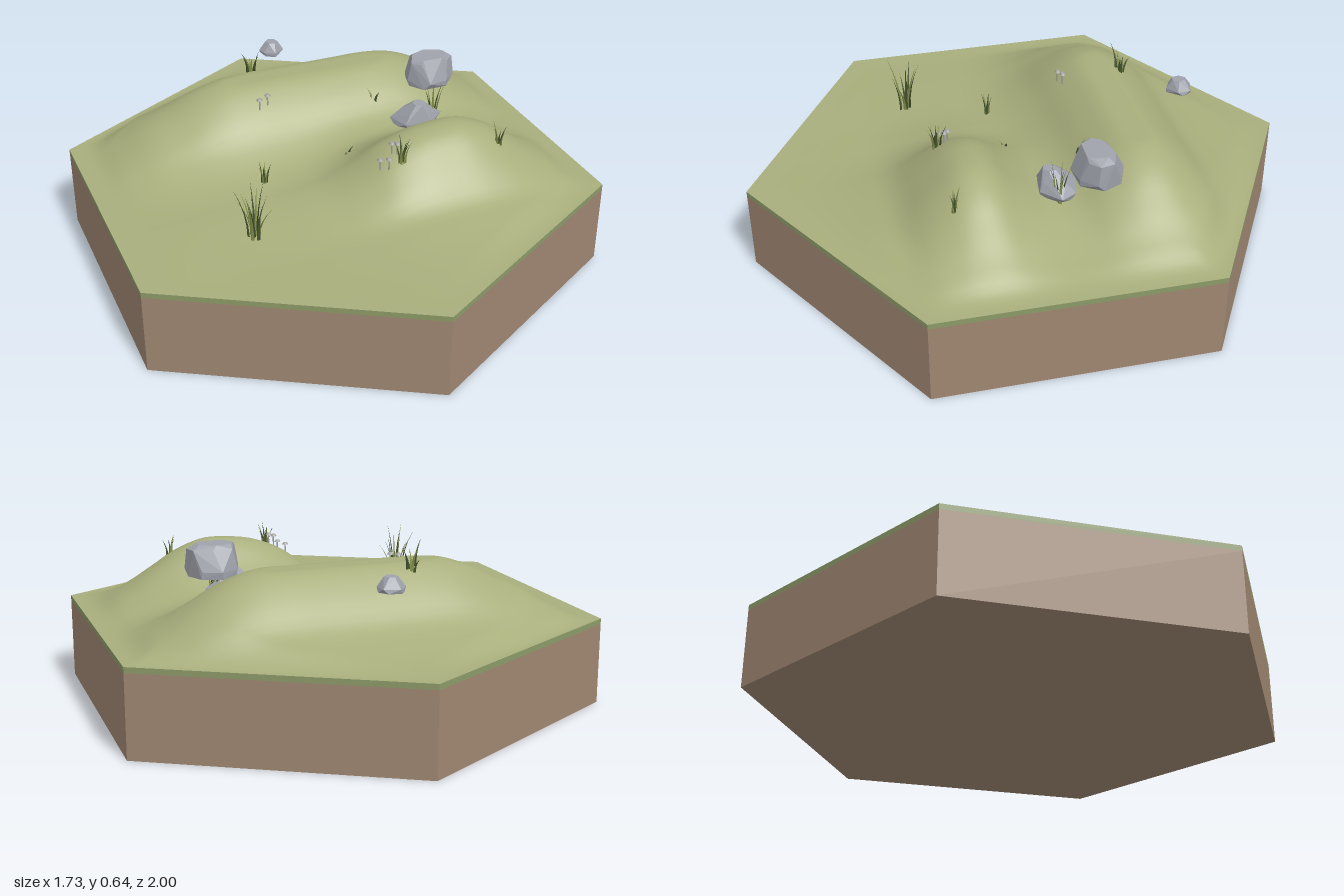
import * as THREE from 'three';
import { mergeGeometries } from 'three/addons/utils/BufferGeometryUtils.js';
import { ConvexGeometry } from 'three/addons/geometries/ConvexGeometry.js';

const material = (name, color, extra = {}) =>
  Object.assign(new THREE.MeshStandardMaterial({ color, ...extra }), { name });

const HALF_WIDTH = Math.sqrt(3) / 2, SOIL_TOP = 0.295, TURF_TOP = 0.315;

// Ridge profiles, sampled every 0.1: across x from -0.9 to 0.9, across z from -1 to 1
const BACK_X = [0, .02, .22, .46, .64, .83, .96, 1, 1, 1, 1, 1, 1, .95, .8, .55, .28, .08, 0];
const BACK_Z = [0, .02, .07, .17, .33, .72, 1, 1, .76, .4, .17, .06, .03, .01, 0, 0, 0, 0, 0, 0, 0];
const FRONT_X = [0, 0, .02, .04, .05, .06, .08, .14, .23, .45, .75, .93, 1, 1, .85, .58, .3, .08, 0];
const FRONT_Z = [0, 0, 0, 0, 0, 0, 0, .01, .03, .08, .25, .6, .97, .98, .66, .26, .14, .07, .03, .01, 0];

// Smooth cubic reading of a sampled profile
function sample(table, start, v) {
  const p = THREE.MathUtils.clamp((v - start) / 0.1, 0, table.length - 1);
  const i = Math.min(Math.floor(p), table.length - 2), t = p - i;
  const at = k => table[THREE.MathUtils.clamp(k, 0, table.length - 1)];
  const a = at(i), b = at(i + 1), m = (b - at(i - 1)) / 2, n = (at(i + 2) - a) / 2;
  const t2 = t * t, t3 = t2 * t;
  return a * (2 * t3 - 3 * t2 + 1) + m * (t3 - 2 * t2 + t) + b * (3 * t2 - 2 * t3) + n * (t3 - t2);
}

// Height of the turf at any point, fading to the hexagon's rim
function ground(x, z) {
  const back = 0.24 * sample(BACK_X, -0.9, x) * sample(BACK_Z, -1, z);
  const front = 0.23 * sample(FRONT_X, -0.9, x) * sample(FRONT_Z, -1, z);
  const edge = Math.min(HALF_WIDTH - Math.abs(x), HALF_WIDTH * (1 - Math.abs(z)) - Math.abs(x) / 2);
  const fade = THREE.MathUtils.smoothstep(edge, 0, 0.13);
  return TURF_TOP + THREE.MathUtils.clamp(back + front, 0, 0.24) * fade;
}

function seeded(seed) {
  return () => (seed = (seed * 16807) % 2147483647) / 2147483647;
}

// Hexagonal sheet of turf: a plane whose rows are squeezed to the hexagon's width
function turfGeometry() {
  const g = new THREE.PlaneGeometry(2, 2, 80, 80).rotateX(-Math.PI / 2);
  const p = g.attributes.position;
  for (let i = 0; i < p.count; i++) {
    const z = p.getZ(i);
    const x = p.getX(i) * Math.min(HALF_WIDTH, Math.max(0, 1 - Math.abs(z)) * 2 * HALF_WIDTH);
    p.setXYZ(i, x, ground(x, z), z);
  }
  g.computeVertexNormals();
  return g;
}

// Boulder: hull of uneven rings, each [y, centre x, centre z, radius x, radius z]
function rockGeometry(rings, sides, seed) {
  const rand = seeded(seed), points = [];
  for (const [y, cx, cz, rx, rz] of rings) {
    for (let i = 0; i < sides; i++) {
      const a = (i + rand() * 0.5) / sides * Math.PI * 2, r = 0.93 + rand() * 0.14;
      points.push(new THREE.Vector3(cx + Math.cos(a) * rx * r, y, cz + Math.sin(a) * rz * r));
    }
  }
  return new ConvexGeometry(points);
}

// Curved three-sided blade that leans outward
function bladeGeometry(width, height, lean, angle) {
  const g = new THREE.ConeGeometry(width, height, 3, 4, true).translate(0, height / 2, 0);
  const p = g.attributes.position;
  for (let i = 0; i < p.count; i++) {
    const t = p.getY(i) / height;
    p.setX(i, p.getX(i) * 0.6 + lean * t * t);
  }
  g.rotateY(angle);
  g.computeVertexNormals();
  return g;
}

export function createModel() {
  const model = new THREE.Group();
  model.name = 'hillTile';
  const soil = material('soil', 0xa08772);
  const turf = material('turf', 0xa8ae7c);
  const rim = material('turfEdge', 0x8c9a68);
  const stone = material('stone', 0x9fa2ab, { flatShading: true });
  const darkGrass = material('darkGrass', 0x46552f, { side: THREE.DoubleSide });
  const lightGrass = material('lightGrass', 0x87934c, { side: THREE.DoubleSide });
  const mushroom = material('mushroom', 0xa3a3a0);

  const add = (parent, name, geometry, mat) => {
    const mesh = new THREE.Mesh(geometry, mat);
    mesh.name = name;
    parent.add(mesh);
    return mesh;
  };
  const flat = g => { const f = g.toNonIndexed(); f.computeVertexNormals(); return f; };

  // Base and ground
  add(model, 'soilBase', flat(new THREE.CylinderGeometry(1, 1, SOIL_TOP, 6).translate(0, SOIL_TOP / 2, 0)), soil);
  add(model, 'turfRim', flat(new THREE.CylinderGeometry(1, 1, TURF_TOP - SOIL_TOP, 6, 1, true)
    .translate(0, (SOIL_TOP + TURF_TOP) / 2, 0)), rim);
  add(model, 'hills', turfGeometry(), turf);

  // Boulders
  add(model, 'largeRock', rockGeometry([
    [0.51, 0.475, -0.16, 0.09, 0.09], [0.535, 0.475, -0.16, 0.095, 0.09],
    [0.605, 0.475, -0.16, 0.09, 0.062], [0.62, 0.47, -0.155, 0.065, 0.052]], 7, 11), stone);
  add(model, 'valleyRock', rockGeometry([
    [0.405, 0.37, -0.04, 0.085, 0.065], [0.43, 0.37, -0.045, 0.1, 0.077],
    [0.465, 0.37, -0.035, 0.065, 0.055], [0.5, 0.37, -0.02, 0.025, 0.025]], 6, 23), stone);
  add(model, 'smallRock', rockGeometry([
    [0.515, 0, -0.615, 0.045, 0.048], [0.53, 0, -0.615, 0.05, 0.05],
    [0.565, 0, -0.61, 0.024, 0.026]], 6, 37), stone);

  // Grass clumps: [x, z, blade count, height, outward lean]
  const clumps = [
    [-0.42, 0.35, 11, 0.22, 0.06], [-0.28, 0.06, 6, 0.11, 0.025],
    [0.135, 0.33, 9, 0.11, 0.03], [0.51, 0.34, 6, 0.09, 0.025],
    [0.44, -0.04, 8, 0.19, 0.035], [-0.15, -0.43, 7, 0.1, 0.04],
    [0.25, -0.155, 3, 0.04, 0.03], [0.04, 0.06, 2, 0.03, 0.03]];
  clumps.forEach(([x, z, count, height, lean], c) => {
    const rand = seeded(101 + c * 57), blades = [[], []];
    const clump = new THREE.Group();
    clump.name = 'grassClump';
    for (let i = 0; i < count; i++) {
      const angle = (i + rand()) / count * Math.PI * 2, r = lean * 0.5 * rand();
      const bx = x + Math.cos(angle) * r, bz = z - Math.sin(angle) * r;
      blades[i % 2].push(bladeGeometry(0.008, height * (0.55 + 0.45 * rand()), lean * (0.4 + 0.6 * rand()), angle)
        .translate(bx, ground(bx, bz) - 0.005, bz));
    }
    add(clump, 'darkBlades', mergeGeometries(blades[0]), darkGrass);
    add(clump, 'lightBlades', mergeGeometries(blades[1]), lightGrass);
    model.add(clump);
  });

  // Tiny mushrooms with flat caps
  const spots = [[-0.2, -0.2], [-0.165, -0.21], [0.06, 0.31], [0.085, 0.33], [0.115, 0.285], [0.13, 0.3]];
  for (const [x, z] of spots) {
    const sprout = new THREE.Group();
    sprout.name = 'mushroom';
    sprout.position.set(x, ground(x, z), z);
    add(sprout, 'stem', new THREE.CylinderGeometry(0.003, 0.003, 0.045, 5).translate(0, 0.018, 0), mushroom);
    add(sprout, 'cap', new THREE.CylinderGeometry(0.007, 0.012, 0.008, 8).translate(0, 0.042, 0), mushroom);
    model.add(sprout);
  }
  return model;
}
